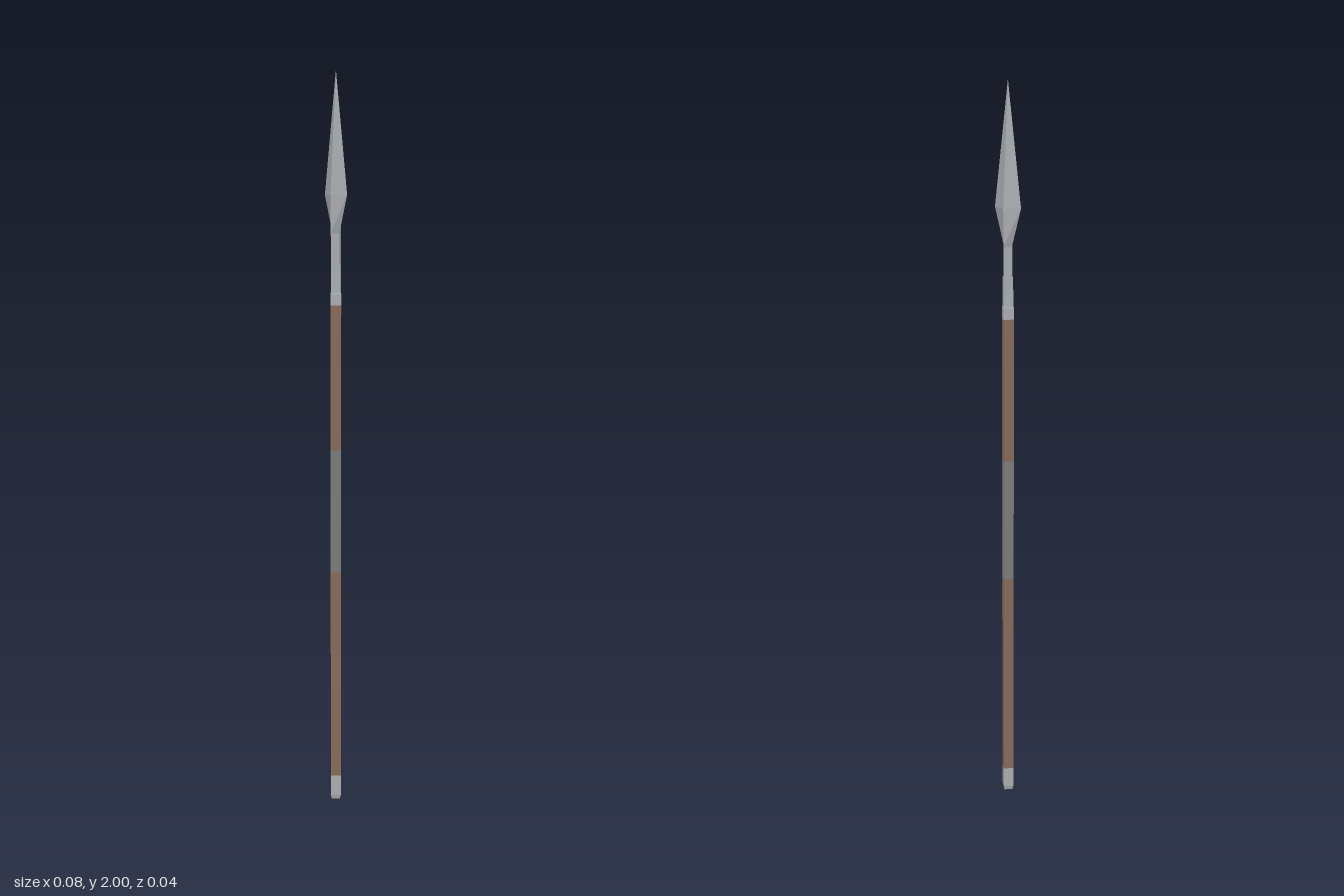
import * as THREE from 'three';

const material = (name, color) => {
  const m = new THREE.MeshStandardMaterial({ color, flatShading: true });
  m.name = name;
  return m;
};

// Faceted loft through diamond cross-sections given as [y, half width x, half depth z]
function diamondLoft(rings) {
  const positions = [];
  const corner = ([y, rx, rz], i) => {
    const a = (i * Math.PI) / 2;
    return [Math.sin(a) * rx, y, Math.cos(a) * rz];
  };
  const tri = (a, b, c) => positions.push(...a, ...b, ...c);
  for (let i = 0; i < 4; i++) {
    for (let r = 0; r < rings.length - 1; r++) {
      const a = corner(rings[r], i), b = corner(rings[r], i + 1);
      const c = corner(rings[r + 1], i + 1), d = corner(rings[r + 1], i);
      tri(a, b, c);
      if (rings[r + 1][1] > 0) tri(a, c, d); // a pointed end needs one triangle only
    }
    // End caps
    const first = rings[0], last = rings[rings.length - 1];
    tri([0, first[0], 0], corner(first, i + 1), corner(first, i));
    if (last[1] > 0) tri([0, last[0], 0], corner(last, i), corner(last, i + 1));
  }
  const g = new THREE.BufferGeometry();
  g.setAttribute('position', new THREE.Float32BufferAttribute(positions, 3));
  g.computeVertexNormals();
  return g;
}

export function createModel() {
  const steel = material('steel', 0xa9acb0);
  const wood = material('wood', 0x86695a);
  const wrap = material('gripWrap', 0x787b7a);

  const spear = new THREE.Group();
  spear.name = 'spear';
  const add = (name, mat, rings) => {
    const mesh = new THREE.Mesh(diamondLoft(rings), mat);
    mesh.name = name;
    spear.add(mesh);
  };

  const r = 0.02;
  // Butt cap with a small chamfer
  add('buttCap', steel, [[0, 0.016, 0.016], [0.012, r, r], [0.07, r, r]]);
  // Shaft with a wrapped grip in the middle
  add('lowerShaft', wood, [[0.07, r, r], [0.66, r, r]]);
  add('grip', wrap, [[0.66, r, r], [1.0, r, r]]);
  add('upperShaft', wood, [[1.0, r, r], [1.39, r, r]]);
  // Socket that holds the head
  add('socket', steel, [[1.39, r, r], [1.42, r, r], [1.425, 0.018, 0.019], [1.5, 0.017, 0.019]]);
  // Neck flaring into the leaf blade
  add('blade', steel, [[1.5, 0.013, 0.019], [1.58, 0.013, 0.019], [1.68, 0.042, r], [2, 0, 0]]);
  return spear;
}
